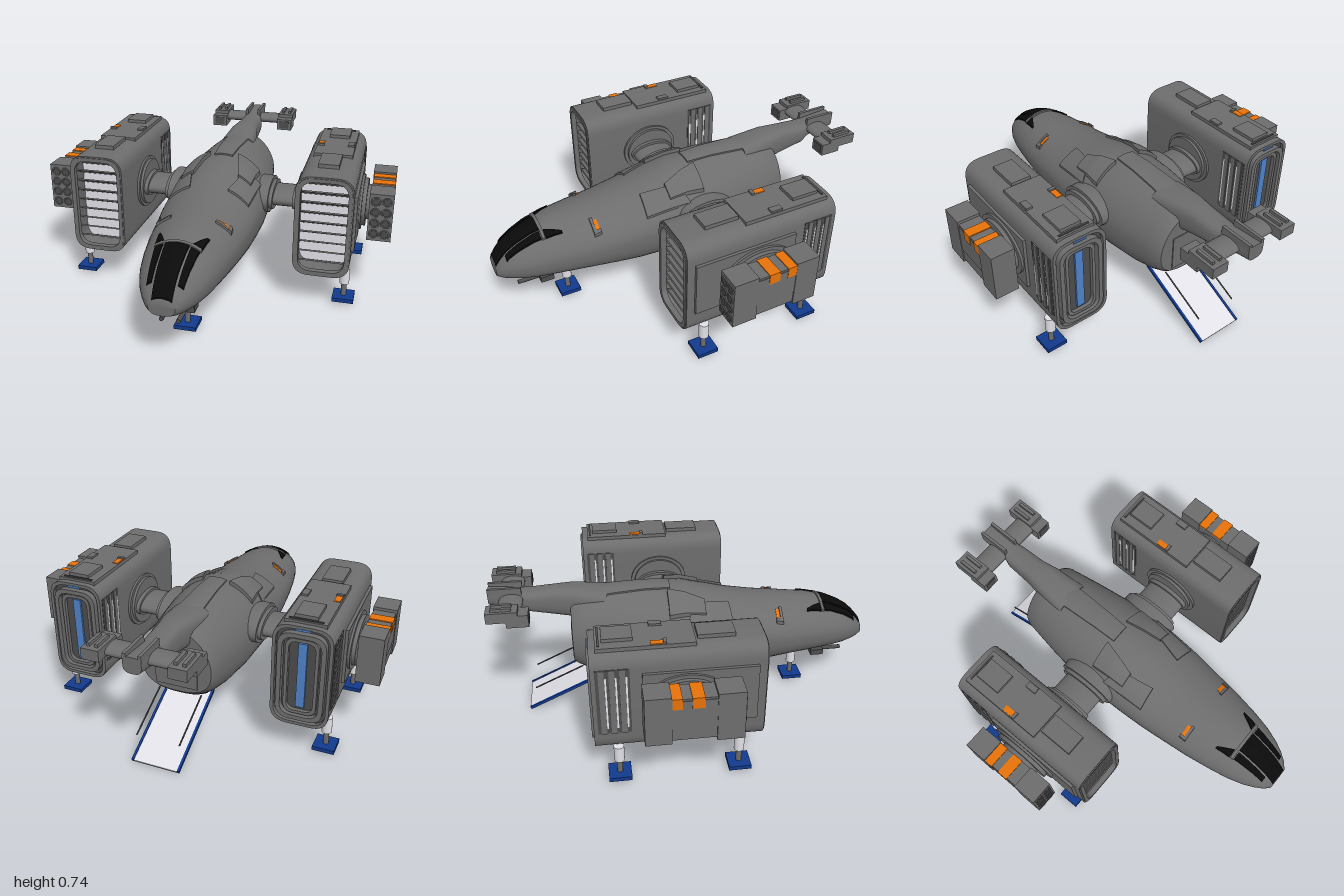
import * as THREE from 'three';
import { toCreasedNormals } from 'three/addons/utils/BufferGeometryUtils.js';

const mat = (name, color) => Object.assign(new THREE.MeshStandardMaterial({ color }), { name });
const HULL = mat('hull grey', 0x6d6d6d), DARK = mat('dark grey', 0x4c4c4c), BLACK = mat('black glass', 0x0a0a0a);
const WHITE = mat('light grey', 0xe6e5ec), ORANGE = mat('orange', 0xea740a), BLUE = mat('dark blue', 0x12398c);
const SKY = mat('mid blue', 0x4f82c8);

function add(parent, name, geo, material, x = 0, y = 0, z = 0) {
  const m = new THREE.Mesh(geo, material);
  m.name = name;
  m.position.set(x, y, z);
  parent.add(m);
  return m;
}
// box given by its extents
const block = (p, name, m, x0, x1, y0, y1, z0, z1) =>
  add(p, name, new THREE.BoxGeometry(x1 - x0, y1 - y0, z1 - z0), m, (x0 + x1) / 2, (y0 + y1) / 2, (z0 + z1) / 2);

// cylinder along x with an elliptical section
function drum(p, name, m, x0, x1, ry, rz, y, z) {
  const g = new THREE.CylinderGeometry(1, 1, x1 - x0, 40).rotateZ(Math.PI / 2).scale(1, ry, rz);
  return add(p, name, g, m, (x0 + x1) / 2, y, z);
}
// thin rod between two points
function rod(p, name, m, a, b, r) {
  const A = new THREE.Vector3(...a), B = new THREE.Vector3(...b);
  const o = add(p, name, new THREE.CylinderGeometry(r, r, A.distanceTo(B), 10), m);
  o.position.lerpVectors(A, B, 0.5);
  o.quaternion.setFromUnitVectors(new THREE.Vector3(0, 1, 0), B.sub(A).normalize());
}

// hull stations: z, half width, top, widest height, bottom
const BODY = [
  [1.0, 0.062, 0.362, 0.325, 0.285], [0.97, 0.092, 0.4, 0.342, 0.272], [0.93, 0.118, 0.44, 0.352, 0.264],
  [0.88, 0.143, 0.472, 0.36, 0.256], [0.8, 0.17, 0.508, 0.37, 0.25], [0.7, 0.192, 0.532, 0.38, 0.243],
  [0.55, 0.217, 0.546, 0.39, 0.23], [0.4, 0.233, 0.56, 0.4, 0.208], [0.27, 0.247, 0.58, 0.415, 0.192],
  [0.12, 0.255, 0.62, 0.42, 0.188], [0.0, 0.257, 0.655, 0.42, 0.187], [-0.2, 0.247, 0.665, 0.42, 0.187],
  [-0.38, 0.222, 0.66, 0.42, 0.195], [-0.5, 0.203, 0.65, 0.42, 0.222], [-0.57, 0.192, 0.64, 0.42, 0.26],
  [-0.59, 0.182, 0.62, 0.42, 0.28]];
const BOOM = [
  [-0.4, 0.1, 0.66, 0.59, 0.5], [-0.57, 0.082, 0.685, 0.61, 0.52], [-0.66, 0.066, 0.685, 0.61, 0.535],
  [-0.8, 0.062, 0.675, 0.62, 0.565], [-0.84, 0.05, 0.68, 0.64, 0.59], [-1.0, 0.045, 0.695, 0.66, 0.615]];
const TOP_N = 1.85, LOW_N = 2.6;

// closed loft through superellipse stations
function loft(keys, nTop, nLow, seg = 48) {
  const pos = [], idx = [], last = (keys.length - 1) * seg;
  for (const [z, w, top, mid, bot] of keys)
    for (let j = 0; j < seg; j++) {
      const a = (j / seg) * Math.PI * 2, c = Math.cos(a), s = Math.sin(a), e = 2 / (s >= 0 ? nTop : nLow);
      pos.push(w * Math.sign(c) * Math.abs(c) ** e, mid + (s >= 0 ? top - mid : mid - bot) * Math.sign(s) * Math.abs(s) ** e, z);
    }
  for (const k of [keys[0], keys[keys.length - 1]]) pos.push(0, k[3], k[0]);
  const cap = keys.length * seg;
  for (let j = 0; j < seg; j++) {
    const n = (j + 1) % seg;
    for (let i = 0; i < last; i += seg) {
      const a = i + j, b = i + n, c = a + seg, d = b + seg;
      idx.push(a, c, b, b, c, d);
    }
    idx.push(cap, j, n, cap + 1, last + n, last + j);
  }
  const g = new THREE.BufferGeometry();
  g.setAttribute('position', new THREE.Float32BufferAttribute(pos, 3));
  g.setIndex(idx);
  return toCreasedNormals(g, 0.7);
}

// height of the hull skin at x, z (upper or lower half)
function skinY(x, z, upper) {
  let i = 0;
  while (i < BODY.length - 2 && BODY[i + 1][0] > z) i++;
  const a = BODY[i], b = BODY[i + 1], t = (z - a[0]) / (b[0] - a[0]);
  const [, w, top, mid, bot] = a.map((v, k) => v + (b[k] - v) * t);
  const n = upper ? TOP_N : LOW_N, f = (1 - Math.min(1, Math.abs(x / w)) ** n) ** (1 / n);
  return upper ? mid + (top - mid) * f : mid - (mid - bot) * f;
}
// plate hugging the hull; corners: rear right, rear left, front right, front left as [x, z]
function skinPlate(p, name, m, [a, b, c, d], lift, upper = true) {
  const g = new THREE.BoxGeometry(1, 1, 1, 8, 1, 14), P = g.attributes.position;
  for (let i = 0; i < P.count; i++) {
    const u = P.getX(i) + 0.5, v = P.getZ(i) + 0.5, up = P.getY(i) > 0;
    const q = k => (a[k] * (1 - u) + b[k] * u) * (1 - v) + (c[k] * (1 - u) + d[k] * u) * v;
    const x = q(0), z = q(1), off = upper ? (up ? lift : -0.01) : (up ? 0.01 : -lift);
    P.setXYZ(i, x, skinY(x, z, upper) + off, z);
  }
  g.computeVertexNormals();
  add(p, name, g, m);
}
function skinPair(p, name, m, [a, b, c, d], lift, upper) {
  const f = ([x, z]) => [-x, z];
  skinPlate(p, name, m, [a, b, c, d], lift, upper);
  skinPlate(p, name, m, [f(b), f(a), f(d), f(c)], lift, upper);
}

// rounded rectangle outline, centred
function roundRect(w, h, r, Type = THREE.Shape) {
  const s = new Type(), x = w / 2, y = h / 2;
  s.moveTo(-x + r, -y);
  s.lineTo(x - r, -y).quadraticCurveTo(x, -y, x, -y + r).lineTo(x, y - r).quadraticCurveTo(x, y, x - r, y);
  s.lineTo(-x + r, y).quadraticCurveTo(-x, y, -x, y - r).lineTo(-x, -y + r).quadraticCurveTo(-x, -y, -x + r, -y);
  return s;
}
function tube(w, h, r, wall, depth) {
  const s = roundRect(w, h, r);
  if (wall) s.holes.push(roundRect(w - 2 * wall, h - 2 * wall, r - wall * 0.6, THREE.Path));
  return toCreasedNormals(new THREE.ExtrudeGeometry(s, { depth, bevelEnabled: false, curveSegments: 8 }), 0.6);
}

// engine nacelle, local x = 0 at its centre line; s = outward side
function nacelle(s) {
  const g = new THREE.Group();
  g.name = s > 0 ? 'leftNacelle' : 'rightNacelle';
  g.position.x = s * 0.592;
  const cy = 0.448, mir = (n, m, x0, x1, ...r) => block(g, n, m, Math.min(s * x0, s * x1), Math.max(s * x0, s * x1), ...r);
  add(g, 'nacelleShell', tube(0.286, 0.53, 0.085, 0.016, 0.8), HULL, 0, cy, -0.51);
  add(g, 'intakeLip', tube(0.272, 0.516, 0.08, 0.02, 0.03), HULL, 0, cy, 0.265);
  add(g, 'intakeBackWall', tube(0.256, 0.5, 0.075, 0, 0.02), WHITE, 0, cy, 0.145);
  // thin intake slats, front edge raised
  for (let i = 0; i < 9; i++) {
    const w = i === 0 || i === 8 ? 0.22 : 0.254;
    const slat = add(g, 'intakeSlat', new THREE.BoxGeometry(w, 0.008, 0.1), HULL, 0, 0.235 + i * 0.053, 0.222);
    slat.rotation.x = -0.46;
  }
  // exhaust end
  add(g, 'exhaustWall', tube(0.256, 0.5, 0.075, 0, 0.02), DARK, 0, cy, -0.49);
  add(g, 'exhaustFrame', tube(0.23, 0.46, 0.07, 0.022, 0.03), HULL, 0, cy, -0.52);
  add(g, 'exhaustInnerFrame', tube(0.16, 0.4, 0.05, 0.016, 0.025), HULL, 0, cy, -0.51);
  block(g, 'exhaustGlow', SKY, -0.021, 0.021, 0.28, 0.62, -0.5, -0.485);
  block(g, 'exhaustTopLight', SKY, -0.035, 0.035, 0.69, 0.7, -0.513, -0.508);
  // side vents near the exhaust
  for (const q of [-1, 1]) {
    const x = q * 0.143;
    block(g, 'ventPanel', DARK, x - 0.002, x + 0.002, 0.29, 0.64, -0.49, -0.335);
    for (const z of [-0.365, -0.412, -0.459]) {
      block(g, 'ventRib', HULL, x - 0.006, x + 0.006, 0.29, 0.64, z - 0.016, z + 0.01);
      block(g, 'ventGap', WHITE, x - 0.004, x + 0.004, 0.32, 0.6, z + 0.011, z + 0.019);
    }
  }
  // top covers
  block(g, 'topCover', HULL, -0.055, 0.05, 0.7, 0.733, -0.02, 0.155);
  block(g, 'topPlate', HULL, -0.1, 0.1, 0.7, 0.725, -0.48, -0.03);
  block(g, 'topHatch', HULL, -0.05, 0.06, 0.72, 0.742, -0.45, -0.31);
  block(g, 'topSlot', DARK, -0.08, 0.08, 0.72, 0.73, -0.47, -0.46);
  block(g, 'topLight', ORANGE, -0.095, -0.065, 0.71, 0.729, -0.235, -0.178);
  block(g, 'topLightHood', HULL, -0.098, -0.062, 0.71, 0.736, -0.178, -0.162);
  block(g, 'topVent', HULL, 0.063, 0.095, 0.71, 0.735, -0.23, -0.17);
  // belly panels
  for (const z of [-0.36, -0.1, 0.14]) {
    block(g, 'bellyPanel', HULL, -0.09, 0.09, 0.179, 0.19, z - 0.1, z + 0.1);
    block(g, 'bellyInset', DARK, -0.06, 0.06, 0.177, 0.182, z - 0.07, z + 0.07);
  }
  // outer side panel and hubs
  mir('sidePanel', HULL, 0.135, 0.158, 0.32, 0.61, -0.28, 0.25);
  for (const [x0, x1, ry, rz] of [[0.15, 0.17, 0.138, 0.19], [0.17, 0.19, 0.12, 0.16], [0.19, 0.215, 0.09, 0.11],
    [-0.155, -0.14, 0.14, 0.16], [-0.17, -0.15, 0.125, 0.14]])
    drum(g, 'hub', HULL, Math.min(s * x0, s * x1), Math.max(s * x0, s * x1), ry, rz, 0.462, -0.08);
  // weapon pod
  mir('podBody', HULL, 0.212, 0.322, 0.365, 0.585, -0.17, 0.03);
  mir('podFront', HULL, 0.208, 0.328, 0.35, 0.6, 0.03, 0.155);
  mir('podRear', HULL, 0.208, 0.328, 0.35, 0.6, -0.29, -0.17);
  mir('podSidePlate', HULL, 0.315, 0.325, 0.43, 0.575, -0.17, 0.03);
  for (const z of [-0.152, -0.054]) {
    mir('podBand', ORANGE, 0.211, 0.326, 0.58, 0.59, z - 0.028, z + 0.028);
    mir('podBandSide', ORANGE, 0.32, 0.3275, 0.535, 0.59, z - 0.028, z + 0.028);
  }
  for (let i = 0; i < 8; i++) {
    const x = s * (0.241 + (i % 2) * 0.054), y = 0.387 + Math.floor(i / 2) * 0.058;
    add(g, 'launchTube', new THREE.TorusGeometry(0.021, 0.004, 6, 20), HULL, x, y, 0.156);
    add(g, 'launchBore', new THREE.CircleGeometry(0.02, 20), DARK, x, y, 0.157);
  }
  return g;
}

function landingLeg(p, x, z) {
  const g = new THREE.Group();
  g.name = 'landingLeg';
  g.position.set(x, 0, z);
  add(g, 'legSleeve', new THREE.CylinderGeometry(0.025, 0.025, 0.085, 24), WHITE, 0, 0.148, 0);
  add(g, 'legPiston', new THREE.CylinderGeometry(0.014, 0.014, 0.08, 16), HULL, 0, 0.07, 0);
  block(g, 'footPad', BLUE, -0.055, 0.055, 0.016, 0.037, -0.055, 0.055);
  p.add(g);
}

export function createModel() {
  const root = new THREE.Group();
  root.name = 'dropship';
  add(root, 'fuselage', loft(BODY, TOP_N, LOW_N), HULL);
  add(root, 'tailBoom', loft(BOOM, 3, 3), HULL);

  // cockpit glass
  skinPlate(root, 'windscreen', BLACK, [[-0.056, 0.76], [0.056, 0.76], [-0.046, 0.996], [0.046, 0.996]], 0.008);
  skinPair(root, 'sideWindow', BLACK, [[0.066, 0.765], [0.105, 0.765], [0.06, 0.945], [0.084, 0.945]], 0.008);
  skinPair(root, 'quarterWindow', BLACK, [[0.112, 0.66], [0.122, 0.66], [0.068, 0.742], [0.112, 0.742]], 0.008);
  skinPlate(root, 'canopyFrame', HULL, [[-0.11, 0.745], [0.11, 0.745], [-0.11, 0.76], [0.11, 0.76]], 0.01);
  // hooded markers behind the cockpit
  skinPair(root, 'marker', ORANGE, [[0.122, 0.482], [0.175, 0.482], [0.122, 0.501], [0.175, 0.501]], 0.004);
  skinPair(root, 'markerHood', HULL, [[0.112, 0.501], [0.185, 0.501], [0.112, 0.516], [0.185, 0.516]], 0.012);
  skinPair(root, 'markerHoodSide', HULL, [[0.175, 0.478], [0.188, 0.478], [0.175, 0.516], [0.188, 0.516]], 0.018);

  // raised hull fairings and belly panels
  skinPair(root, 'shoulderFairing', HULL, [[0.075, -0.09], [0.2, -0.09], [0.12, 0.1], [0.19, 0.1]], 0.022);
  skinPair(root, 'shoulderPlate', HULL, [[0.14, 0.05], [0.225, 0.0], [0.1, 0.23], [0.21, 0.24]], 0.012);
  skinPlate(root, 'dorsalSpine', HULL, [[-0.07, -0.56], [0.07, -0.56], [-0.05, -0.07], [0.05, -0.07]], 0.008);
  skinPair(root, 'bellyPanel', HULL, [[0.02, -0.1], [0.13, -0.1], [0.02, 0.13], [0.13, 0.13]], 0.007, false);
  skinPair(root, 'bellyPanel', HULL, [[0.02, -0.36], [0.13, -0.36], [0.02, -0.13], [0.13, -0.13]], 0.007, false);
  skinPlate(root, 'rampOpening', BLACK, [[-0.12, -0.55], [0.12, -0.55], [-0.12, -0.41], [0.12, -0.41]], 0.004, false);

  // rear wall panel
  block(root, 'rearPanel', HULL, -0.11, 0.11, 0.31, 0.5, -0.595, -0.58);

  // tail crossbar and tail pods
  drum(root, 'tailCrossbar', HULL, -0.18, 0.18, 0.028, 0.06, 0.648, -0.885);
  for (const s of [-1, 1]) {
    const t = new THREE.Group();
    t.name = 'tailPod';
    t.position.x = s * 0.207;
    block(t, 'podBlock', HULL, -0.044, 0.044, 0.6, 0.665, -0.9, -0.79);
    block(t, 'podBlockRear', HULL, -0.044, 0.044, 0.63, 0.685, -0.995, -0.84);
    block(t, 'podInset', DARK, -0.03, 0.03, 0.61, 0.655, -0.793, -0.787);
    block(t, 'podRail', HULL, -0.028, -0.012, 0.68, 0.7, -0.97, -0.87);
    block(t, 'podRail', HULL, 0.012, 0.028, 0.68, 0.7, -0.97, -0.87);
    root.add(t);
    block(root, 'boomFin', HULL, s * 0.037 - 0.008, s * 0.037 + 0.008, 0.66, 0.708, -1.0, -0.83);
    // pylon
    const span = (x0, x1, ry, rz) => drum(root, 'pylon', HULL, Math.min(s * x0, s * x1), Math.max(s * x0, s * x1), ry, rz, 0.458, -0.08);
    span(0.2, 0.275, 0.088, 0.16);
    span(0.27, 0.295, 0.07, 0.14);
    span(0.29, 0.45, 0.048, 0.115);
    span(0.4, 0.425, 0.062, 0.125);
    root.add(nacelle(s));
    landingLeg(root, s * 0.71, 0.18);
    landingLeg(root, s * 0.71, -0.4);
    rod(root, 'rampStrut', DARK, [s * 0.112, 0.255, -0.55], [s * 0.112, 0.135, -0.81], 0.004);
    // chin gun barrel
    rod(root, 'gunBarrel', DARK, [s * 0.04, 0.203, 0.74], [s * 0.04, 0.203, 0.9], 0.011);
  }
  landingLeg(root, 0, 0.63);
  block(root, 'gunMount', DARK, -0.083, 0.083, 0.187, 0.218, 0.72, 0.79);
  block(root, 'gunNeck', DARK, -0.03, 0.03, 0.21, 0.26, 0.73, 0.78);

  // loading ramp
  const ramp = new THREE.Group();
  ramp.name = 'ramp';
  const len = Math.hypot(0.43, 0.2);
  ramp.position.set(0, 0.11, -0.635);
  ramp.rotation.x = -Math.atan2(0.2, 0.43);
  block(ramp, 'rampDeck', WHITE, -0.116, 0.116, -0.002, 0.004, -len / 2, len / 2);
  block(ramp, 'rampUnderside', HULL, -0.125, 0.125, -0.008, -0.002, -len / 2, len / 2);
  for (const s of [-1, 1]) block(ramp, 'rampEdge', BLUE, s * 0.12 - 0.006, s * 0.12 + 0.006, -0.006, 0.008, -len / 2, len / 2);
  root.add(ramp);
  return root;
}
